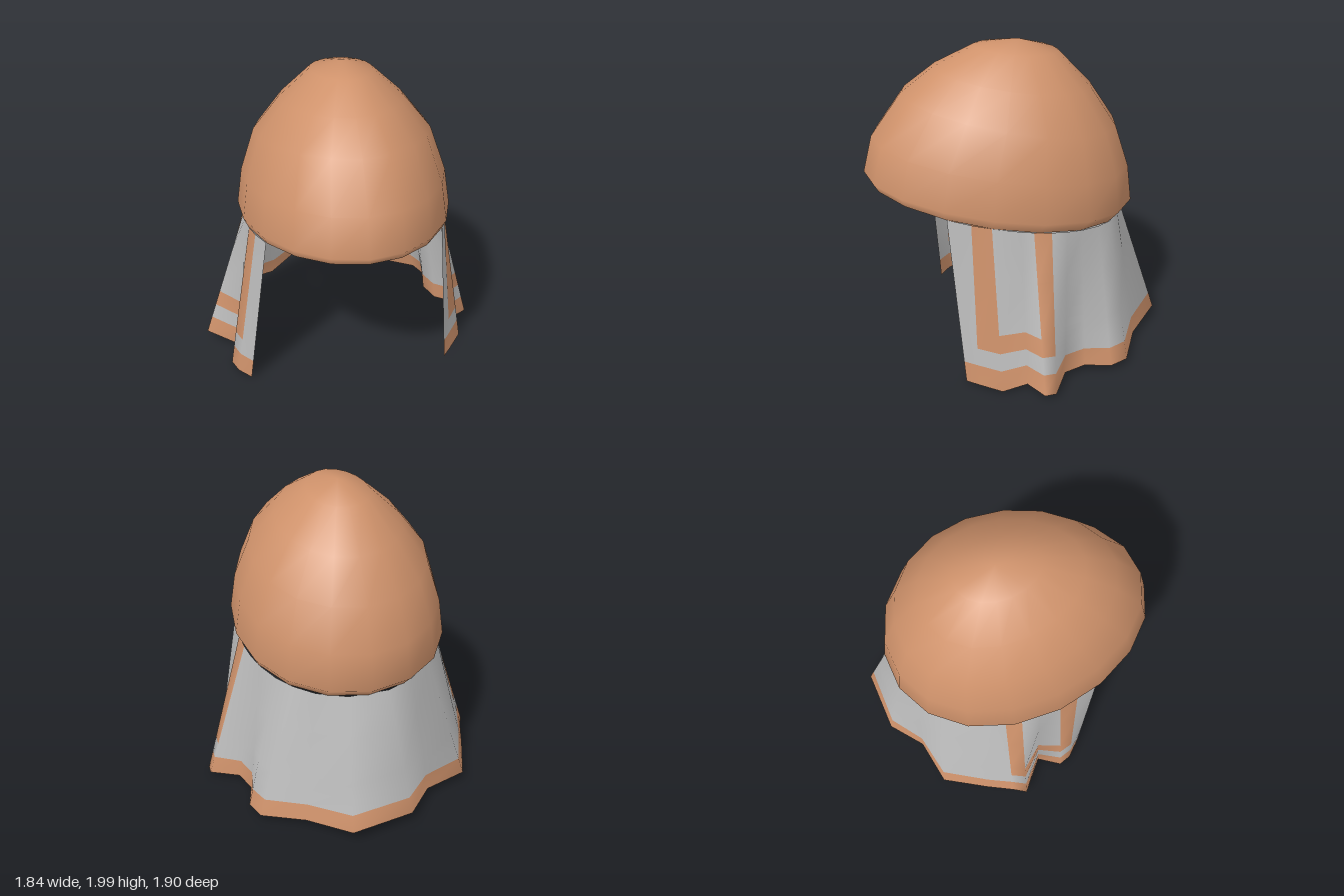
import * as THREE from 'three';

const copper = new THREE.MeshStandardMaterial({ color: 0xcf926b, side: THREE.DoubleSide });
copper.name = 'copper';
const silver = new THREE.MeshStandardMaterial({ color: 0xbcbcbc, side: THREE.DoubleSide });
silver.name = 'silver';

// Tilted egg-shaped rings of the cap: [front z, front y, back z, back y, half width]
const HEM = [0.92, 1.16, -0.69, 0.9, 0.635];
const RINGS = [
  HEM,
  [0.95, 1.21, -0.76, 0.97, 0.665],
  [0.89, 1.44, -0.73, 1.2, 0.63],
  [0.7, 1.7, -0.64, 1.46, 0.54],
  [0.5, 1.85, -0.48, 1.7, 0.38],
  [0.25, 1.97, -0.27, 1.92, 0.19],
];

// Point on a ring; angle 0 is the front, 90 degrees is +x
function ringPoint([fz, fy, bz, by, w], angle) {
  const c = Math.cos(angle);
  return new THREE.Vector3(
    0.015 + w * Math.sin(angle) * (1 - 0.09 * c),
    (fy + by) / 2 + c * (fy - by) / 2,
    (fz + bz) / 2 + c * (fz - bz) / 2
  );
}

function makeGeometry(points, index) {
  const geometry = new THREE.BufferGeometry().setFromPoints(points);
  geometry.setIndex(index);
  geometry.computeVertexNormals();
  return geometry;
}

// Cap: open shell with a tucked hem and a peaked front
function createCap() {
  const sides = 18;
  const points = [];
  const index = [];
  for (const ring of RINGS) {
    for (let i = 0; i < sides; i++) points.push(ringPoint(ring, (i / sides) * Math.PI * 2));
  }
  const top = points.push(new THREE.Vector3(0.015, 2, -0.02)) - 1;
  for (let r = 0; r < RINGS.length; r++) {
    for (let i = 0; i < sides; i++) {
      const a = r * sides + i;
      const b = r * sides + (i + 1) % sides;
      if (r === RINGS.length - 1) index.push(a, b, top);
      else index.push(a, b, b + sides, a, b + sides, a + sides);
    }
  }
  const cap = new THREE.Mesh(makeGeometry(points, index), copper);
  cap.name = 'cap';
  return cap;
}

// Folds of the drape: [hem angle in degrees, bottom x, bottom y, bottom z]
const FOLDS = [
  [61, 0.65, 0.01, 0.43], [71.5, 0.71, 0.015, 0.36], [80, 0.81, 0.02, 0.23],
  [92, 0.78, 0.03, 0.07], [97.5, 0.92, 0.035, -0.01], [105.5, 0.92, 0.04, -0.08],
  [113, 0.74, 0.05, -0.18], [121, 0.69, 0.05, -0.32], [132, 0.73, 0.05, -0.48],
  [142, 0.68, 0.05, -0.6], [154, 0.42, 0.06, -0.73], [170, 0.18, 0.09, -0.95],
  [191, -0.23, 0.08, -0.87], [206, -0.41, 0.07, -0.67], [222, -0.7, 0.06, -0.57],
  [245, -0.82, 0.06, -0.27], [254.5, -0.88, 0.07, -0.1], [262, -0.92, 0.08, -0.01],
  [270, -0.7, 0.04, 0.13], [280, -0.77, 0.03, 0.28], [288.5, -0.73, 0.02, 0.36],
  [299, -0.65, 0.01, 0.43],
];
const HEIGHTS = [0, 0.13, 0.24, 0.355, 0.7, 1];

// Copper border along the bottom, and a U-shaped trim on each side panel
function isTrim(column, row) {
  if (row === 0) return true;
  const side = Math.min(column, FOLDS.length - 2 - column);
  if (side === 1 || side === 4) return row >= 2;
  return (side === 2 || side === 3) && row === 2;
}

// Neck drape: flared, folded cloth, open at the face
function createDrape() {
  const points = [];
  const trim = [];
  const cloth = [];
  const rows = HEIGHTS.length;
  FOLDS.forEach(([degrees, x, y, z], column) => {
    const bottom = new THREE.Vector3(x, y, z);
    const hem = ringPoint(HEM, THREE.MathUtils.degToRad(degrees));
    HEIGHTS.forEach((t, row) => {
      points.push(bottom.clone().lerp(hem, t));
      if (column === FOLDS.length - 1 || row === rows - 1) return;
      const a = column * rows + row;
      const b = a + rows;
      (isTrim(column, row) ? trim : cloth).push(a, b, b + 1, a, b + 1, a + 1);
    });
  });
  const geometry = makeGeometry(points, [...trim, ...cloth]);
  geometry.addGroup(0, trim.length, 0);
  geometry.addGroup(trim.length, cloth.length, 1);
  const drape = new THREE.Mesh(geometry, [copper, silver]);
  drape.name = 'neckDrape';
  return drape;
}

export function createModel() {
  const model = new THREE.Group();
  model.name = 'drapedCap';
  model.add(createCap(), createDrape());
  return model;
}
